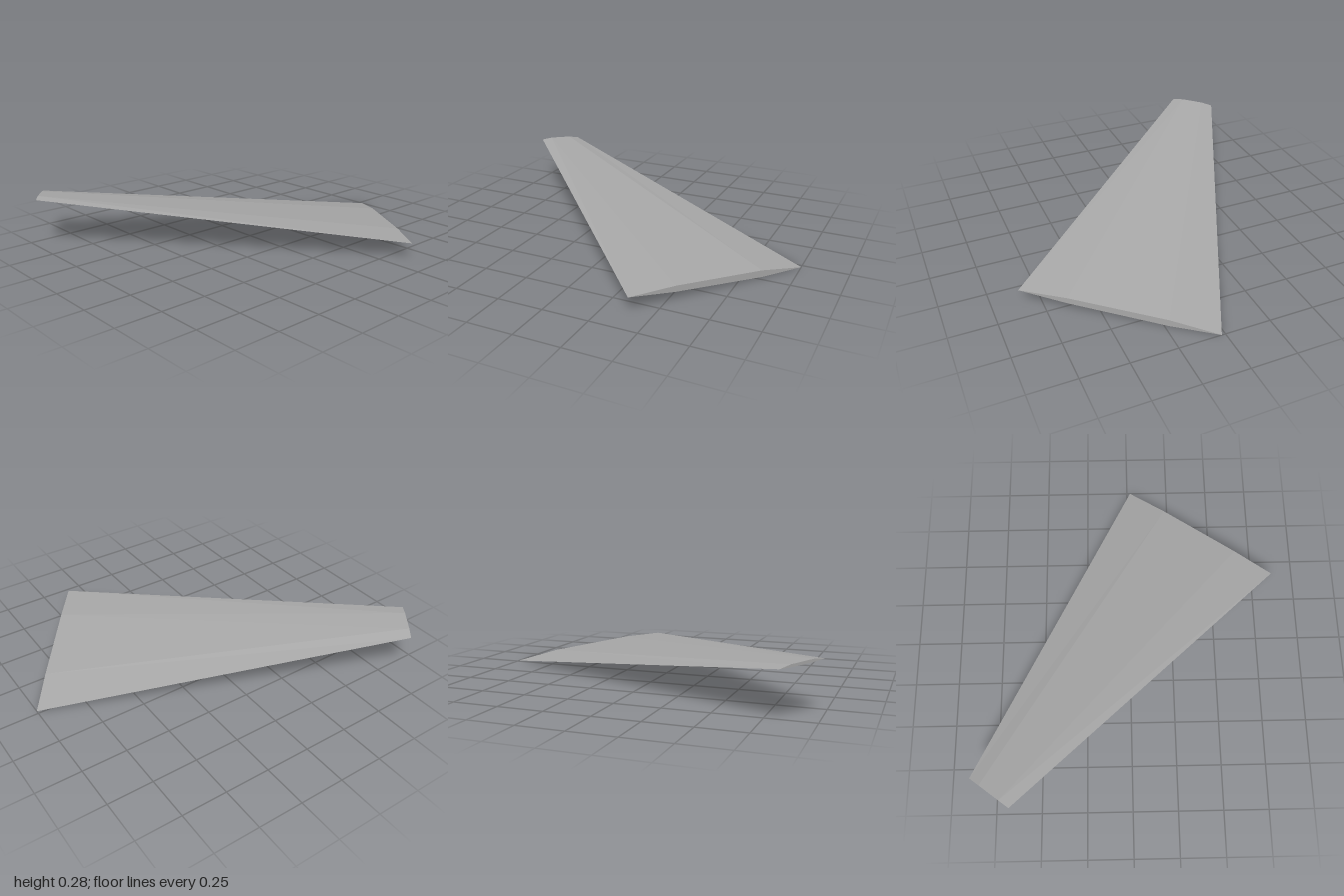
import * as THREE from 'three';

// Six-sided section: heights run leading edge, over the top, trailing edge, back underneath
const CHORD = [0, 0.25, 0.75, 1, 0.75, 0.25];

function section(lead, trail, heights) {
  return CHORD.map((t, i) => [
    lead[0] + (trail[0] - lead[0]) * t,
    heights[i],
    lead[1] + (trail[1] - lead[1]) * t,
  ]);
}

function loft(root, tip) {
  const pos = [];
  const tri = (a, b, c) => pos.push(...a, ...b, ...c);
  const n = root.length;
  // Skin between the two sections
  for (let i = 0; i < n; i++) {
    const j = (i + 1) % n;
    tri(root[i], root[j], tip[j]);
    tri(root[i], tip[j], tip[i]);
  }
  // End caps
  for (let i = 1; i < n - 1; i++) {
    tri(root[0], root[i + 1], root[i]);
    tri(tip[0], tip[i], tip[i + 1]);
  }
  const geometry = new THREE.BufferGeometry();
  geometry.setAttribute('position', new THREE.Float32BufferAttribute(pos, 3));
  geometry.computeVertexNormals();
  return geometry;
}

export function createModel() {
  const group = new THREE.Group();
  group.name = 'sweptWing';

  const grey = new THREE.MeshStandardMaterial({ color: 0xaaaaaa, flatShading: true });
  grey.name = 'light grey';

  // Wide root section and narrow raised tip section
  const root = section([0.385, 0.86], [1, 0.02], [0.085, 0.082, 0.042, 0, 0.004, 0.049]);
  const tip = section([-1, -0.645], [-0.84, -0.86], [0.275, 0.28, 0.27, 0.255, 0.256, 0.265]);

  const wing = new THREE.Mesh(loft(root, tip), grey);
  wing.name = 'wing';
  group.add(wing);
  return group;
}
